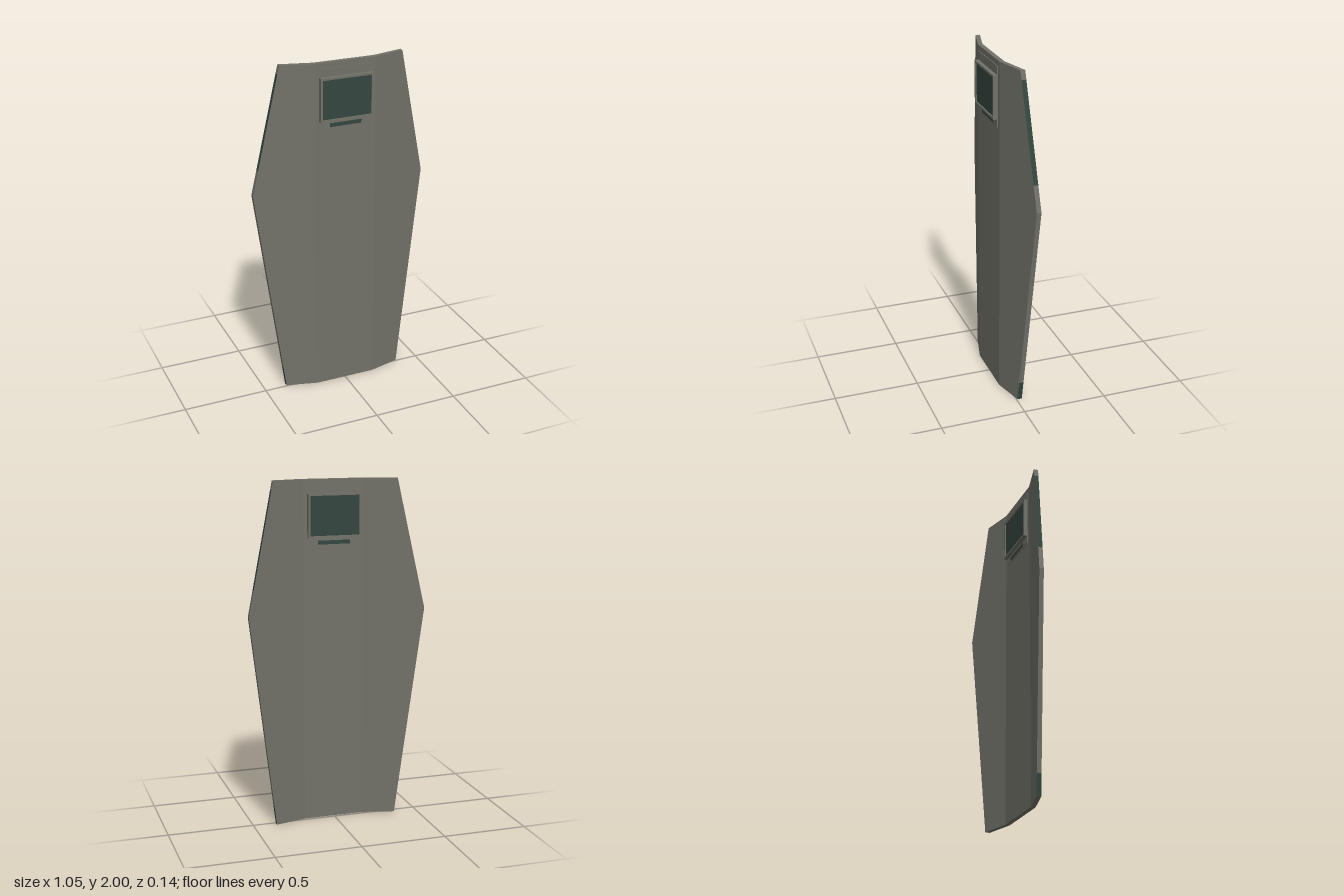
import * as THREE from 'three';

const shellMat = new THREE.MeshStandardMaterial({ color: 0x72726a });
shellMat.name = 'greyShell';
const darkMat = new THREE.MeshStandardMaterial({ color: 0x34463f });
darkMat.name = 'darkGreen';

const FOLD = 0.18, THICK = 0.027, FRONT = 0.042;

// half width of the outline at a height, and front depth at a distance from the centre
const halfWidth = y => y < 1.25
  ? THREE.MathUtils.lerp(0.365, 0.523, y / 1.25)
  : THREE.MathUtils.lerp(0.523, 0.365, (y - 1.25) / 0.75);
const depth = x => FRONT - 0.26 * Math.max(0, Math.abs(x) - FOLD);
const point = (x, y, back) => [x, y, depth(x) - (back ? THICK : 0)];

// flat-sided mesh from four-cornered faces
function quadMesh(name, quads, material) {
  const positions = [];
  for (const [a, b, c, d] of quads) positions.push(...a, ...b, ...c, ...a, ...c, ...d);
  const geometry = new THREE.BufferGeometry();
  geometry.setAttribute('position', new THREE.Float32BufferAttribute(positions, 3));
  geometry.computeVertexNormals();
  const mesh = new THREE.Mesh(geometry, material);
  mesh.name = name;
  return mesh;
}

function box(name, w, h, z0, z1, x, y, material) {
  const mesh = new THREE.Mesh(new THREE.BoxGeometry(w, h, z1 - z0), material);
  mesh.position.set(x, y, (z0 + z1) / 2);
  mesh.name = name;
  return mesh;
}

export function createModel() {
  const group = new THREE.Group();
  group.name = 'shield';

  // folded panel: three facets across, two tiers up
  const columns = y => [-halfWidth(y), -FOLD, FOLD, halfWidth(y)];
  const faces = [];
  for (const [y0, y1] of [[0, 1.25], [1.25, 2]]) {
    const low = columns(y0), high = columns(y1);
    for (let i = 0; i < 3; i++) {
      const corners = back => [
        point(low[i], y0, back), point(low[i + 1], y0, back),
        point(high[i + 1], y1, back), point(high[i], y1, back)];
      faces.push(corners(false), corners(true).reverse());
    }
  }
  // top and bottom rims
  for (const y of [0, 2]) {
    const xs = columns(y);
    for (let i = 0; i < 3; i++) {
      const rim = [point(xs[i], y, false), point(xs[i + 1], y, false),
        point(xs[i + 1], y, true), point(xs[i], y, true)];
      faces.push(y ? rim : rim.reverse());
    }
  }
  group.add(quadMesh('panel', faces, shellMat));

  // side rims, with dark stretches
  const rims = [[0, 0.12, true], [0.12, 1.25, false], [1.25, 1.4, false],
    [1.4, 1.95, true], [1.95, 2, false]];
  for (const side of [-1, 1]) {
    for (const [y0, y1, dark] of rims) {
      const x0 = side * halfWidth(y0), x1 = side * halfWidth(y1);
      const quad = [point(x0, y0, false), point(x0, y0, true),
        point(x1, y1, true), point(x1, y1, false)];
      if (side < 0) quad.reverse();
      group.add(quadMesh(side > 0 ? 'leftRim' : 'rightRim', [quad], dark ? darkMat : shellMat));
    }
  }

  // mounting plate through the panel
  group.add(box('windowPlate', 0.314, 0.35, 0.011, 0.047, 0, 1.795, shellMat));

  // window frame and pane, visible from both sides
  const frame = new THREE.Group();
  frame.name = 'windowFrame';
  for (const s of [-1, 1]) {
    frame.add(box('frameSide', 0.012, 0.25, -0.01, 0.07, s * 0.151, 1.795, shellMat));
    frame.add(box('frameRail', 0.29, 0.012, -0.01, 0.07, 0, 1.795 + s * 0.119, shellMat));
  }
  group.add(frame);
  group.add(box('windowPane', 0.29, 0.226, -0.003, 0.062, 0, 1.795, darkMat));

  // dark strip under the window, front and back
  group.add(box('frontStrip', 0.19, 0.022, 0.045, 0.049, 0, 1.643, darkMat));
  group.add(box('backStrip', 0.19, 0.022, 0.009, 0.013, 0, 1.643, darkMat));

  return group;
}
